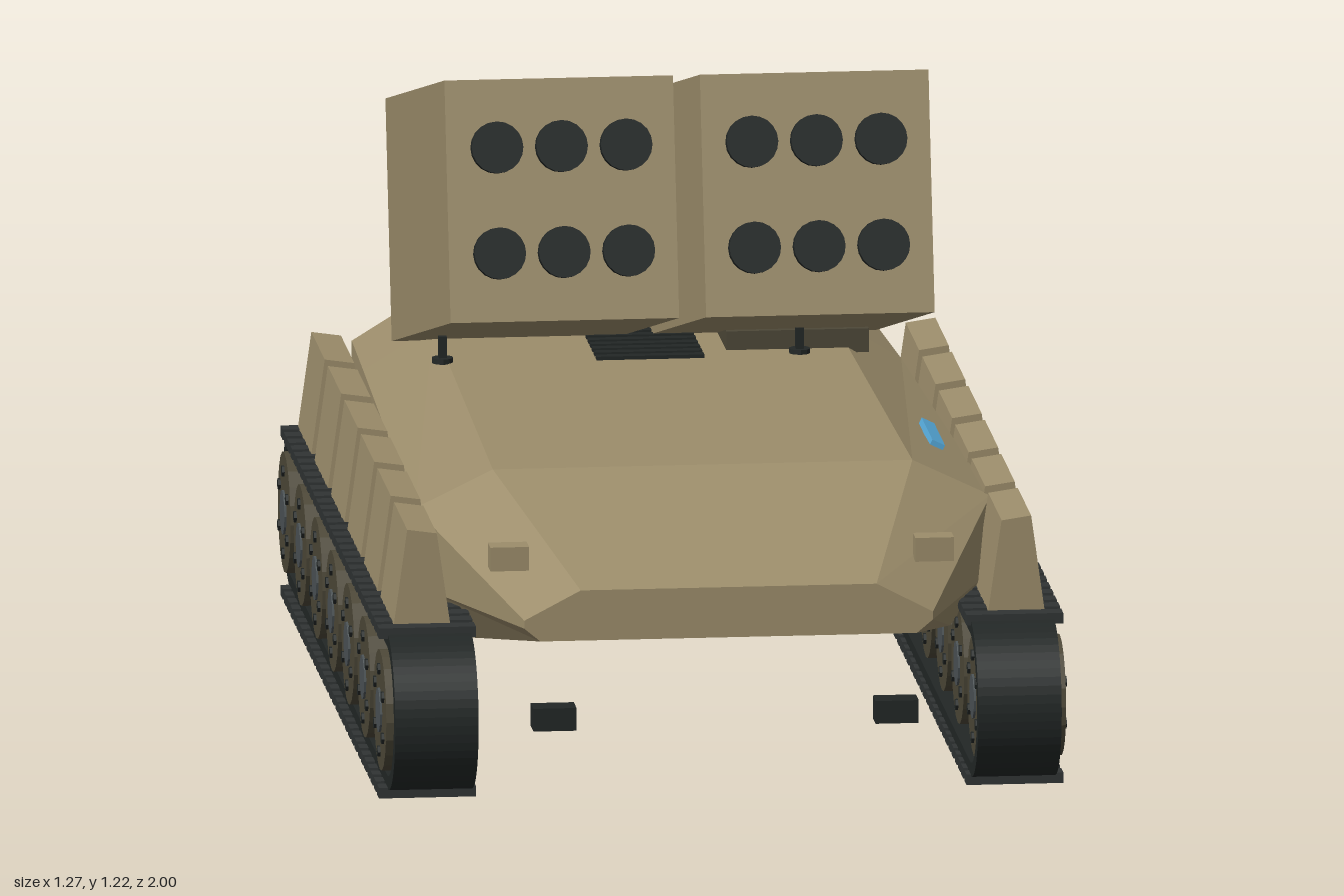
import * as THREE from 'three';

const mat = (color, extra = {}) => new THREE.MeshStandardMaterial({ color, flatShading: true, ...extra });
const TAN = mat(0x9c8d6b), DARK = mat(0x222726), PAD = mat(0x303434), WHEEL = mat(0x4d4838),
  HUB = mat(0x4c5356), BLUE = mat(0x55a8d8);

function add(parent, name, geo, material, x = 0, y = 0, z = 0) {
  const m = new THREE.Mesh(geo, material);
  m.name = name;
  m.position.set(x, y, z);
  parent.add(m);
  return m;
}
const box = (w, h, d) => new THREE.BoxGeometry(w, h, d);

// Loft of eight-sided sections, listed from rear to front
function hullGeometry(sections) {
  const rings = sections.map(([z, wTop, yTop, wSide, yUp, yLow, wBot, yBot]) => {
    const half = [[wTop, yTop], [wSide, yUp], [wSide, yLow], [wBot, yBot]];
    return [
      ...half.map(([x, y]) => [-x, y, z]),
      ...half.slice().reverse().map(([x, y]) => [x, y, z]),
    ];
  });
  const pos = [];
  const tri = (a, b, c) => pos.push(...a, ...b, ...c);
  for (let s = 0; s < rings.length - 1; s++) {
    const a = rings[s], b = rings[s + 1];
    for (let i = 0; i < 8; i++) {
      const j = (i + 1) % 8;
      tri(a[i], a[j], b[j]);
      tri(a[i], b[j], b[i]);
    }
  }
  const rear = rings[0], front = rings[rings.length - 1];
  for (let i = 1; i < 7; i++) {
    tri(front[0], front[i], front[i + 1]);
    tri(rear[0], rear[i + 1], rear[i]);
  }
  const g = new THREE.BufferGeometry();
  g.setAttribute('position', new THREE.Float32BufferAttribute(pos, 3));
  g.computeVertexNormals();
  return g;
}

// Closed track band with rounded ends
function trackGeometry(half, rOut, rIn, width) {
  const loop = (P, r) => {
    const p = new P();
    p.moveTo(-half, -r);
    p.lineTo(half, -r);
    p.absarc(half, 0, r, -Math.PI / 2, Math.PI / 2, false);
    p.lineTo(-half, r);
    p.absarc(-half, 0, r, Math.PI / 2, Math.PI * 1.5, false);
    return p;
  };
  const shape = loop(THREE.Shape, rOut);
  shape.holes.push(loop(THREE.Path, rIn));
  return new THREE.ExtrudeGeometry(shape, { depth: width, bevelEnabled: false, curveSegments: 14 })
    .translate(0, 0, -width / 2).rotateY(-Math.PI / 2);
}

// Road wheel with hub and a ring of bolts on both faces
function makeWheel() {
  const wheel = new THREE.Group();
  wheel.name = 'roadWheel';
  const disc = (r, w, n) => new THREE.CylinderGeometry(r, r, w, n).rotateZ(Math.PI / 2);
  add(wheel, 'wheelDisc', disc(0.113, 0.16, 20), WHEEL);
  add(wheel, 'wheelHub', disc(0.042, 0.168, 12), HUB);
  for (let i = 0; i < 6; i++) {
    const a = (i / 6) * Math.PI * 2 + Math.PI / 6;
    add(wheel, 'wheelBolt', disc(0.011, 0.17, 6), DARK, 0, Math.sin(a) * 0.078, Math.cos(a) * 0.078);
  }
  return wheel;
}

// Leaning stowage box above a track, drawn for the +x side
function skirtGeometry(side, depth) {
  const pts = [[0.50, 0.32], [0.605, 0.32], [0.58, 0.50], [0.525, 0.492]];
  const shape = new THREE.Shape(pts.map(([x, y]) => new THREE.Vector2(x * side, y)));
  return new THREE.ExtrudeGeometry(shape, { depth, bevelEnabled: false }).translate(0, 0, -depth / 2);
}

function makeRunningGear(side) {
  const gear = new THREE.Group();
  gear.name = side > 0 ? 'leftRunningGear' : 'rightRunningGear';
  add(gear, 'trackBand', trackGeometry(0.85, 0.148, 0.122, 0.155), DARK, side * 0.542, 0.163, 0);
  for (let i = 0; i < 7; i++) {
    const w = makeWheel();
    w.position.set(side * 0.552, 0.163, 0.845 - i * 0.2815);
    gear.add(w);
  }
  const pads = 31;
  for (let i = 0; i < pads; i++) {
    const z = -0.85 + (i * 1.7) / (pads - 1);
    for (const y of [0.01, 0.312]) add(gear, 'trackPad', box(0.18, 0.02, 0.036), PAD, side * 0.546, y, z);
  }
  for (let i = 0; i < 6; i++)
    add(gear, 'stowageBox', skirtGeometry(side, 0.236), TAN, 0, 0, 0.715 - i * 0.291);
  return gear;
}

// Twin launcher pods tilted upward
function makeLauncher() {
  const launcher = new THREE.Group();
  launcher.name = 'launcher';
  launcher.position.set(0, 0.87, -0.21);
  launcher.rotation.x = -0.249;
  for (const side of [-1, 1]) {
    add(launcher, 'launcherPod', box(0.425, 0.449, 1.073), TAN, side * 0.2375, 0, 0);
    for (const x of [0.117, 0.237, 0.357])
      for (const y of [-0.098, 0.098])
        add(launcher, 'launchTube', new THREE.CylinderGeometry(0.048, 0.048, 0.06, 20).rotateX(Math.PI / 2),
          DARK, side * x, y, 0.533);
  }
  return launcher;
}

export function createModel() {
  const model = new THREE.Group();
  model.name = 'trackedLauncher';

  // z, top half-width, top y, side half-width, side upper y, side lower y, bottom half-width, bottom y
  add(model, 'hull', hullGeometry([
    [-1.0, 0.36, 0.53, 0.49, 0.45, 0.32, 0.43, 0.25],
    [-0.7, 0.37, 0.54, 0.50, 0.46, 0.32, 0.44, 0.23],
    [0.54, 0.39, 0.545, 0.535, 0.475, 0.33, 0.46, 0.23],
    [1.0, 0.275, 0.415, 0.38, 0.36, 0.345, 0.35, 0.32],
  ]), TAN);

  for (const side of [-1, 1]) {
    model.add(makeRunningGear(side));
    add(model, 'headlight', box(0.072, 0.045, 0.045), TAN, side * 0.395, 0.452, 0.865);
    add(model, 'towHook', box(0.08, 0.043, 0.05), DARK, side * 0.318, 0.161, 0.93);
  }

  model.add(makeLauncher());

  // Rear deck fittings
  add(model, 'deckHatch', box(0.265, 0.045, 0.23), WHEEL, 0.28, 0.554, -0.555);
  for (let i = 0; i < 8; i++)
    add(model, 'grilleSlat', box(0.2, 0.012, 0.02), DARK, 0, 0.542, -0.64 + i * 0.036);
  for (const [x, z] of [[-0.385, -0.395], [0.28, -0.405]]) {
    add(model, 'deckPost', box(0.015, 0.05, 0.015), DARK, x, 0.565, z);
    add(model, 'postFoot', new THREE.CylinderGeometry(0.02, 0.02, 0.01, 10), DARK, x, 0.545, z);
  }

  // Blue strip lying on the left deck slope
  const strip = add(model, 'blueStrip', box(0.026, 0.012, 0.19), BLUE, 0.468, 0.504, 0.145);
  strip.rotation.z = -0.45;

  return model;
}
